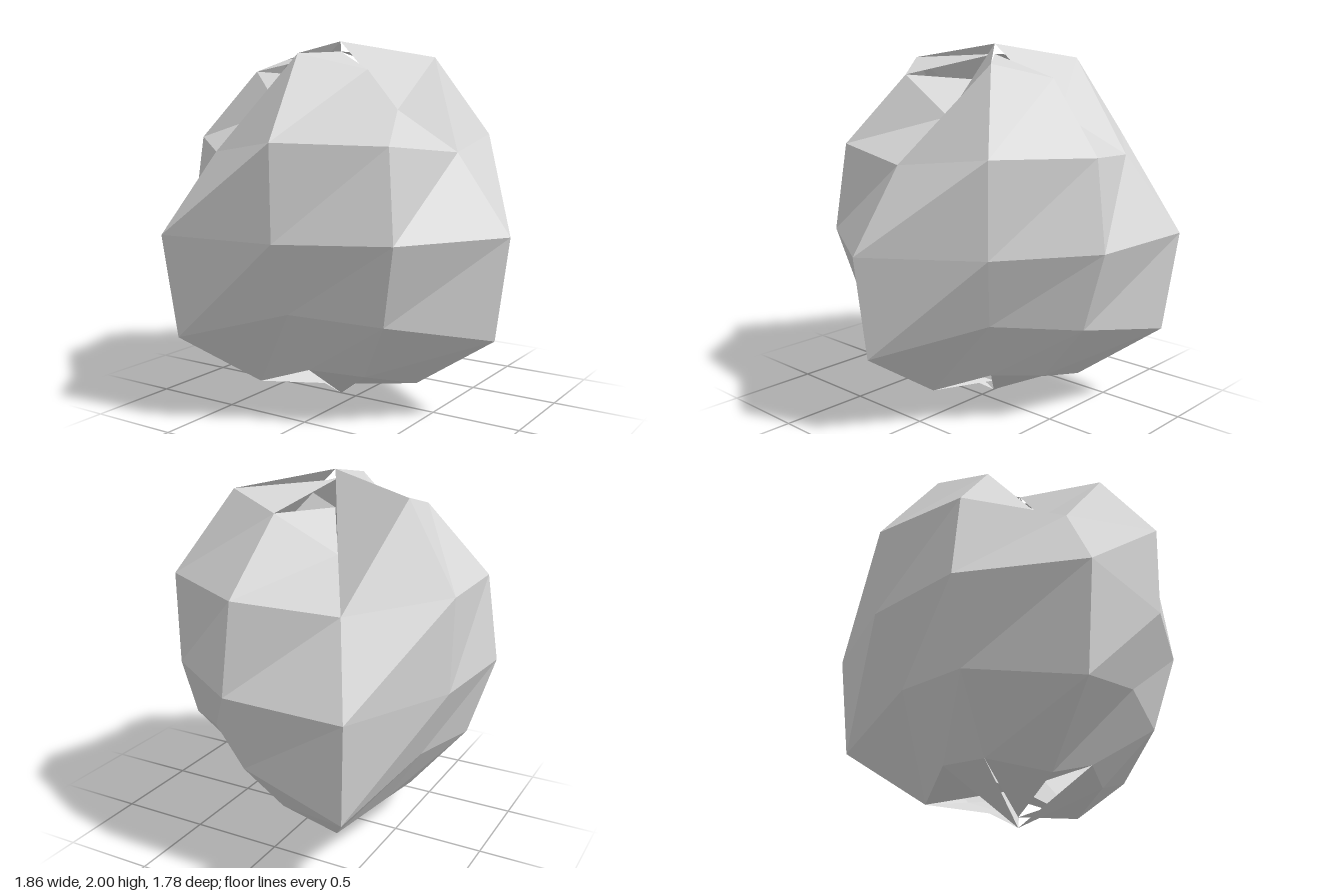
import * as THREE from 'three';

const SEGMENTS = 9;
const ROWS = 6;

// Radius of each ring from top pole to bottom pole; the three values repeat around the ring.
const RADII = [
  [0.80, 0.945, 1.00],
  [0.73, 0.968, 1.058],
  [0.836, 0.94, 0.978],
  [1.027, 0.883, 0.838],
  [1.10, 0.86, 0.77],
  [0.987, 0.89, 0.855],
  [0.80, 0.945, 1.00],
];

function point(row, k) {
  const r = RADII[row][k % 3];
  const theta = (row / ROWS) * Math.PI;
  const phi = (k / SEGMENTS) * Math.PI * 2;
  return [
    r * Math.sin(theta) * Math.cos(phi),
    r * Math.cos(theta),
    r * Math.sin(theta) * Math.sin(phi),
  ];
}

// Faceted boulder: every cap triangle has its own pole height, leaving small cracks.
function rockGeometry() {
  const positions = [];
  for (let row = 0; row < ROWS; row++) {
    for (let k = 0; k < SEGMENTS; k++) {
      const a = point(row, k + 1);
      const b = point(row, k);
      const c = point(row + 1, k);
      const d = point(row + 1, k + 1);
      if (row > 0) positions.push(...a, ...d, ...b);
      if (row < ROWS - 1) positions.push(...b, ...d, ...c);
    }
  }
  const geometry = new THREE.BufferGeometry();
  geometry.setAttribute('position', new THREE.Float32BufferAttribute(positions, 3));
  geometry.computeVertexNormals();
  return geometry;
}

export function createModel() {
  const stone = new THREE.MeshStandardMaterial({
    color: 0xd6d6d6,
    flatShading: true,
    side: THREE.DoubleSide,
  });
  stone.name = 'pale stone grey';

  const rock = new THREE.Mesh(rockGeometry(), stone);
  rock.name = 'rock';
  rock.position.set(-0.1, 1, 0);

  const group = new THREE.Group();
  group.name = 'boulder';
  group.add(rock);
  return group;
}
